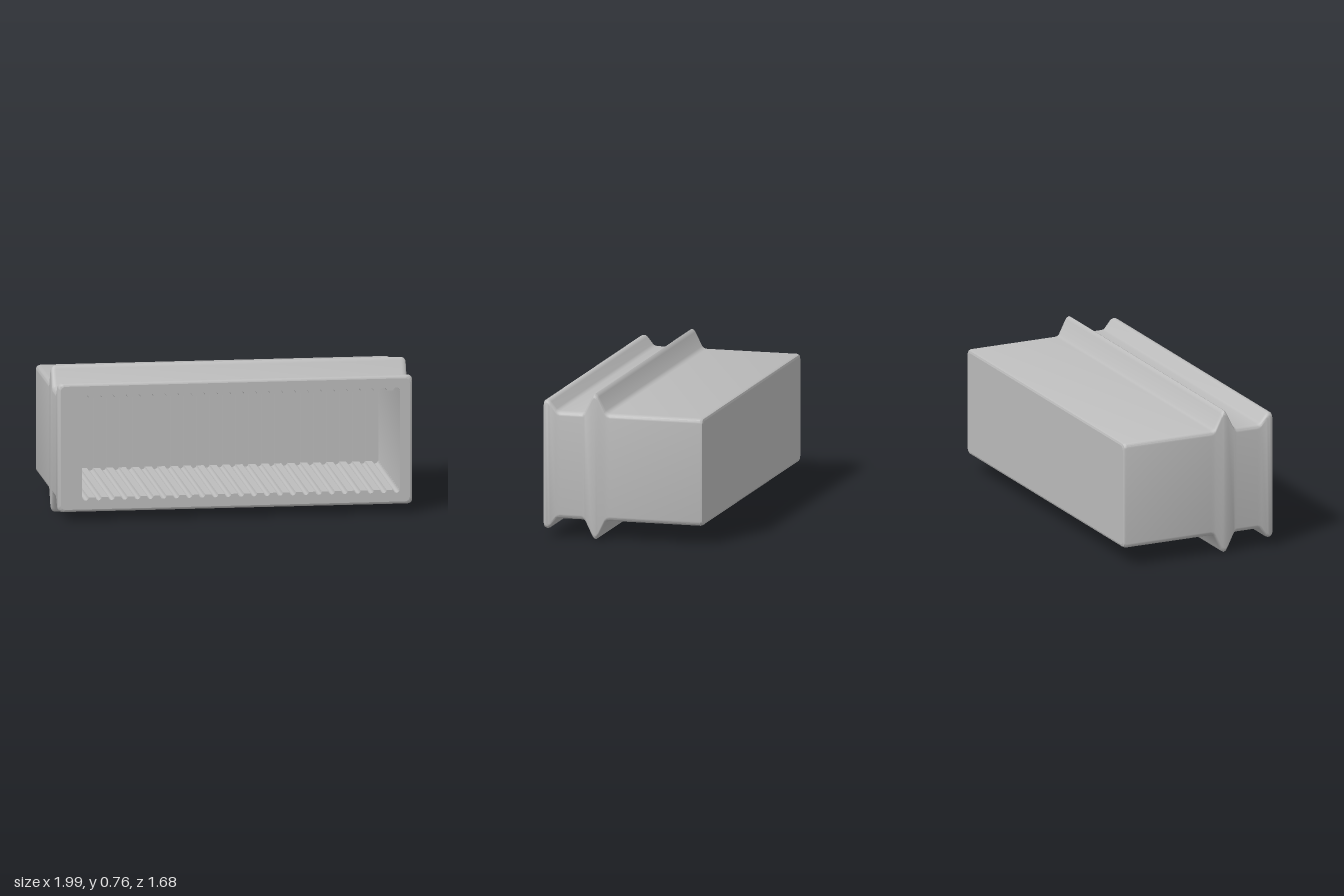
import * as THREE from 'three';
import { toCreasedNormals } from 'three/addons/utils/BufferGeometryUtils.js';

const grey = new THREE.MeshStandardMaterial({ color: 0xbcbcbc, side: THREE.DoubleSide });
grey.name = 'matte grey';

// Skin stretched over a list of equally long rows of points
function skin(rows, closed) {
  const n = rows[0].length, pos = [], index = [];
  rows.forEach(row => row.forEach(p => pos.push(...p)));
  for (let i = 0; i < rows.length - 1; i++) {
    for (let j = 0; j < (closed ? n : n - 1); j++) {
      const k = (j + 1) % n;
      const a = i * n + j, b = i * n + k, c = b + n, d = a + n;
      index.push(a, b, c, a, c, d);
    }
  }
  const g = new THREE.BufferGeometry();
  g.setAttribute('position', new THREE.Float32BufferAttribute(pos, 3));
  g.setIndex(index);
  return toCreasedNormals(g, 0.6);
}

// Counter-clockwise rounded rectangle
function roundedRect(hw, hh, r = 0.025, steps = 5) {
  const pts = [];
  [[1, 1], [-1, 1], [-1, -1], [1, -1]].forEach(([sx, sy], q) => {
    for (let s = 0; s <= steps; s++) {
      const a = (q + s / steps) * Math.PI / 2;
      pts.push([sx * (hw - r) + r * Math.cos(a), sy * (hh - r) + r * Math.sin(a)]);
    }
  });
  return pts;
}

const toShape = pts => new THREE.Shape(pts.map(p => new THREE.Vector2(...p)));

// Slots inside the box
const COUNT = 25, PITCH = 0.0668, FIRST = -0.7725, R = 0.0165;
const X0 = -0.79, X1 = 0.848, HALF = 0.258, BACK = -0.377, FRONT = 0.425;
const slotX = Array.from({ length: COUNT }, (_, i) => FIRST + i * PITCH);

// Mouth outline with half-round slots along the floor and ceiling
function mouthOutline() {
  const floor = [[X0, -HALF]];
  slotX.forEach(x => {
    for (let s = 0; s <= 6; s++) {
      const a = Math.PI * (1 + s / 6);
      floor.push([x + R * Math.cos(a), -HALF + R * Math.sin(a)]);
    }
  });
  floor.push([X1, -HALF]);
  return [...floor, ...floor.map(([x, y]) => [x, -y]).reverse()];
}

export function createModel() {
  const model = new THREE.Group();
  model.name = 'slottedBox';
  const box = new THREE.Group();
  box.name = 'turnedBox';
  box.position.y = 0.38;
  box.rotation.y = -THREE.MathUtils.degToRad(32);
  model.add(box);
  const add = (name, geometry) => {
    const mesh = new THREE.Mesh(geometry, grey);
    mesh.name = name;
    box.add(mesh);
    return mesh;
  };

  // Outer shell from back to front: z, half width, half height
  const sections = [
    [-0.425, 0.9, 0.265], [-0.421, 0.91, 0.275], [-0.41, 0.915, 0.28],
    [0.07, 0.915, 0.28], [0.085, 0.915, 0.283], [0.097, 0.915, 0.293],
    // raised ridge
    [0.132, 0.915, 0.363], [0.139, 0.915, 0.374], [0.149, 0.915, 0.38],
    [0.158, 0.915, 0.375], [0.165, 0.915, 0.364],
    [0.2, 0.915, 0.292], [0.207, 0.915, 0.283], [0.217, 0.915, 0.28],
    // channel and front flange
    [0.335, 0.915, 0.28], [0.348, 0.915, 0.283], [0.357, 0.915, 0.29],
    [0.385, 0.915, 0.325], [0.393, 0.915, 0.332], [0.403, 0.915, 0.335],
    [0.414, 0.913, 0.333], [0.422, 0.908, 0.328], [0.425, 0.9, 0.32],
  ];
  add('outerShell', skin(sections.map(([z, hw, hh]) =>
    roundedRect(hw, hh).map(([x, y]) => [x, y, z])), true));

  // Closed back
  const back = add('backPanel', new THREE.ShapeGeometry(toShape(roundedRect(0.9, 0.265))));
  back.position.z = -0.425;
  back.rotation.y = Math.PI;

  // Front rim around the mouth
  const mouth = mouthOutline();
  const rim = toShape(roundedRect(0.9, 0.32));
  rim.holes.push(new THREE.Path(mouth.map(p => new THREE.Vector2(...p))));
  add('frontRim', new THREE.ShapeGeometry(rim)).position.z = FRONT;

  // Slotted floor, ceiling and side walls
  const inward = [...mouth].reverse();
  add('slottedLining', skin([BACK - 0.018, FRONT].map(z =>
    inward.map(([x, y]) => [x, y, z])), true));

  // Inner back wall with upright grooves in line with the slots
  const wall = [[X0, BACK]];
  slotX.forEach(x => wall.push([x - R, BACK], [x - R, BACK - R], [x + R, BACK - R], [x + R, BACK]));
  wall.push([X1, BACK]);
  add('groovedBackWall', skin([-0.276, 0.276].map(y =>
    wall.map(([x, z]) => [x, y, z])), false));

  return model;
}
